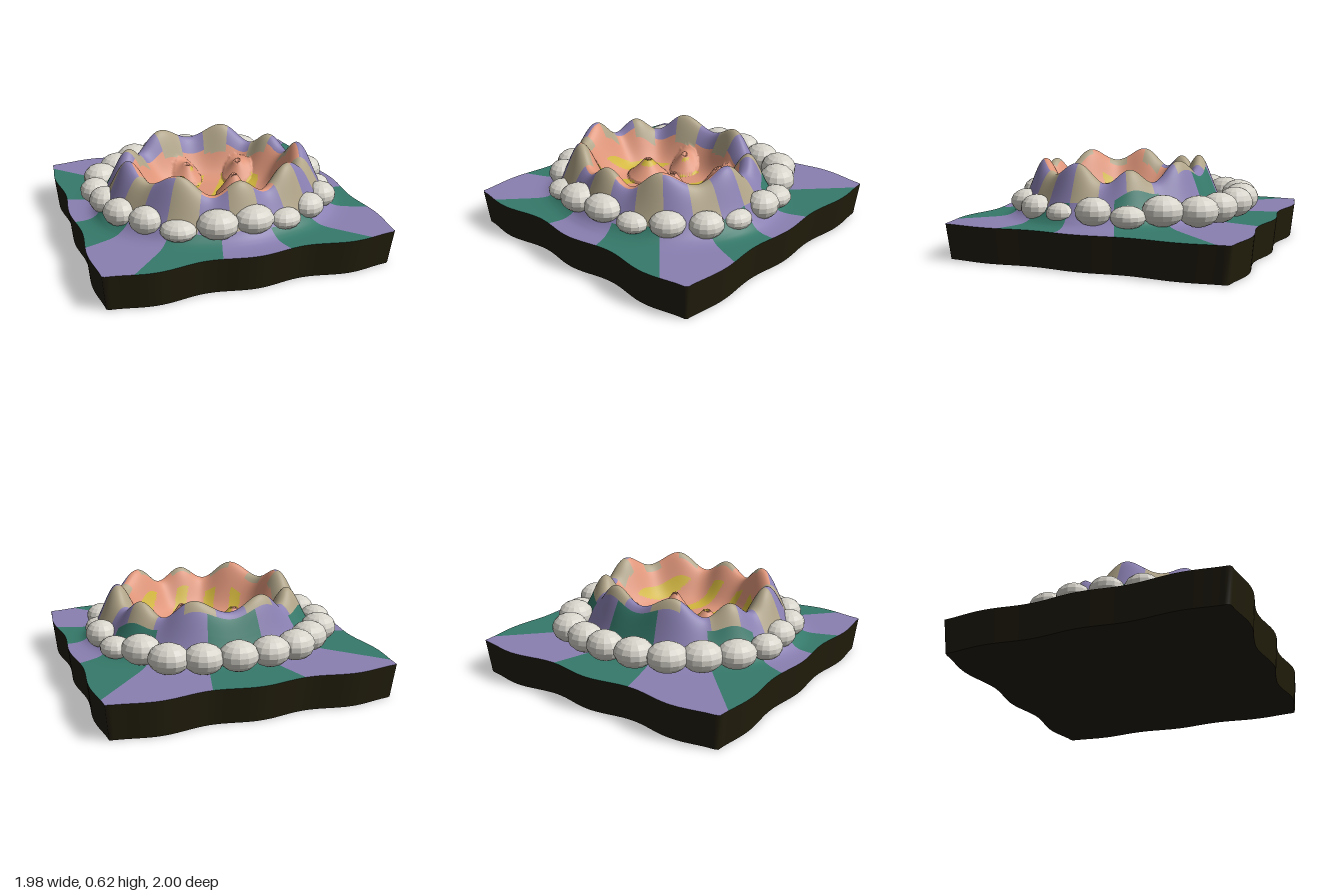
import * as THREE from 'three';

const SEG = 308;              // divisible by both the 14 ground wedges and the 22 rim bands
const INNER = 88, OUTER = 20; // rings across the crater, rings out to the slab edge
const CZ = 0.155, RX = 0.61, RZ = 0.513; // ellipse of the painted bands
const RIM_Z = 0.1, RIM_RZ = 0.53;        // crest of the rim sits slightly further back
const TMAX = 1.35, GROUND = 0.235, FLOOR = 0.27;

const mat = (name, color, side = THREE.FrontSide) => {
  const m = new THREE.MeshStandardMaterial({ color, side });
  m.name = name;
  return m;
};

// Vents on the crater floor: x, z, radius, height
const vents = [
  [-0.21, 0.04, 0.147, 0.17],
  [0.14, 0.155, 0.125, 0.2],
  [-0.085, -0.21, 0.105, 0.14],
  [0.275, -0.14, 0.11, 0.15],
];
const ventReach = (v, x, z) => Math.hypot(x - v[0], z - v[1]) / v[2];

// Wavy square outline of the slab, found along a ray from the crater centre
function outline(phi) {
  const B = 0.977, dx = RX * Math.cos(phi), dz = RZ * Math.sin(phi);
  const s = Math.min(B / Math.max(Math.abs(dx), 1e-6), (dz > 0 ? B - CZ : B + CZ) / Math.max(Math.abs(dz), 1e-6));
  const x = dx * s, z = CZ + dz * s, w = (2 * Math.PI) / 0.65;
  const wave = (a, b, amp) => Math.sign(a) * amp * Math.cos(w * b) * Math.pow(Math.abs(a) / B, 12);
  return [x + wave(x, z, 0.014), z + wave(z, x, 0.022)];
}

// Height of the crater, its wavy rim and the vents
function height(x, z, fade) {
  const t = Math.hypot(x / RX, (z - RIM_Z) / RIM_RZ);
  const a = Math.atan2((z - RIM_Z) / RIM_RZ, x / RX) - Math.PI / 2;
  const psi = a + 0.06 * Math.sin(3 * a);
  const rim = 0.56 + 0.05 * Math.cos(9 * psi) - 0.025 * Math.cos(3 * psi);
  const base = t < 1 ? FLOOR : GROUND;
  let y = base + (rim - base) * Math.exp(-Math.pow((t - 1) / 0.24, 2)) * fade;
  for (const v of vents) {
    const q = ventReach(v, x, z);
    if (q < 1) y += v[3] * (0.1 + 0.9 * Math.pow(1 - q, 1.1)) - (q < 0.14 ? 0.03 : 0);
  }
  return y;
}

// Which material covers a spot: 0 violet, 1 green, 2 sand, 3 coral, 4 yellow
function paint(t, phi, x, z) {
  if (t > 1.22) return Math.floor((phi * 14) / (2 * Math.PI)) % 2 === 0 ? 1 : 0;
  const sand = Math.cos(11 * (phi - Math.PI / 2)) > 0;
  const sandEdge = 0.86 + 0.07 * Math.max(0, -Math.sin(phi));
  if (t > (sand ? sandEdge : 0.97)) return sand ? 2 : 0;
  // Slanted streaks on the floor, reaching only the tips of the vents
  const u = (x + 0.6 * z - 0.1) / 0.233;
  const onSlope = vents.some((v) => { const q = ventReach(v, x, z); return q > 0.4 && q < 1; });
  return t < 0.75 && !onSlope && Math.abs(u - Math.round(u)) < 0.2 ? 4 : 3;
}

function terrainGeometry() {
  const rings = INNER + OUTER, pos = [], faces = [[], [], [], [], []];
  for (let i = 0; i <= rings; i++) {
    const t = (Math.min(i, INNER) / INNER) * TMAX, k = Math.max(0, (i - INNER) / OUTER);
    for (let j = 0; j < SEG; j++) {
      const phi = (j / SEG) * 2 * Math.PI, [ox, oz] = outline(phi);
      const x = THREE.MathUtils.lerp(t * RX * Math.cos(phi), ox, k);
      const z = THREE.MathUtils.lerp(CZ + t * RZ * Math.sin(phi), oz, k);
      pos.push(x, height(x, z, 1 - k), z);
    }
  }
  for (let i = 0; i < rings; i++) {
    for (let j = 0; j < SEG; j++) {
      const n = (j + 1) % SEG;
      const a = i * SEG + j, b = i * SEG + n, c = a + SEG, d = b + SEG;
      const x = (pos[3 * a] + pos[3 * d]) / 2, z = (pos[3 * a + 2] + pos[3 * d + 2]) / 2;
      const t = ((i + 0.5) / INNER) * TMAX;
      const list = faces[paint(t, ((j + 0.5) / SEG) * 2 * Math.PI, x, z)];
      if (i > 0) list.push(a, b, c);
      list.push(b, d, c);
    }
  }
  const geo = new THREE.BufferGeometry();
  geo.setAttribute('position', new THREE.Float32BufferAttribute(pos, 3));
  geo.setIndex(faces.flat());
  let start = 0;
  faces.forEach((f, m) => { geo.addGroup(start, f.length, m); start += f.length; });
  geo.computeVertexNormals();
  return geo;
}

// Slab: a cylinder whose rim is moved onto the wavy outline, slightly narrower below
function slabGeometry() {
  const geo = new THREE.CylinderGeometry(1, 1, GROUND, SEG, 1);
  const p = geo.attributes.position;
  for (let i = 0; i < p.count; i++) {
    const x = p.getX(i), z = p.getZ(i), top = p.getY(i) > 0;
    if (Math.hypot(x, z) < 0.5) {
      p.setXYZ(i, 0, top ? 0.1 : 0, CZ); // upper cap dips under the terrain
    } else {
      const [ox, oz] = outline(Math.atan2(z, x)), s = top ? 1 : 0.977;
      p.setXYZ(i, ox * s, top ? GROUND : 0, oz * s);
    }
  }
  geo.computeVertexNormals();
  return geo;
}

// Boulders: x, z, centre height, half width, half height
const boulders = [
  [-0.17, -0.72, 0.345, 0.133, 0.1], [0.055, -0.735, 0.345, 0.13, 0.1], [0.27, -0.685, 0.335, 0.132, 0.1],
  [0.475, -0.61, 0.335, 0.137, 0.1], [0.6, -0.415, 0.345, 0.137, 0.1], [0.725, -0.23, 0.312, 0.113, 0.073],
  [0.77, -0.015, 0.343, 0.117, 0.093], [0.735, 0.22, 0.315, 0.108, 0.068], [0.67, 0.435, 0.33, 0.115, 0.085],
  [0.495, 0.605, 0.34, 0.118, 0.083], [0.29, 0.7, 0.318, 0.113, 0.067], [0.06, 0.735, 0.36, 0.135, 0.09],
  [-0.18, 0.735, 0.357, 0.135, 0.093], [-0.415, 0.66, 0.318, 0.12, 0.067], [-0.585, 0.515, 0.35, 0.115, 0.09],
  [-0.71, 0.325, 0.343, 0.12, 0.09], [-0.76, 0.1, 0.343, 0.117, 0.09], [-0.785, -0.12, 0.33, 0.115, 0.085],
  [-0.7, -0.345, 0.335, 0.134, 0.095], [-0.545, -0.505, 0.335, 0.138, 0.1], [-0.38, -0.65, 0.34, 0.137, 0.1],
];

export function createModel() {
  const group = new THREE.Group();
  group.name = 'craterDiorama';

  // Crater ground with painted bands
  const terrain = new THREE.Mesh(terrainGeometry(), [
    mat('violetGround', 0x8a80b2, THREE.DoubleSide),
    mat('greenGround', 0x35796a, THREE.DoubleSide),
    mat('sandRim', 0xb0a488, THREE.DoubleSide),
    mat('coralFloor', 0xe0967a, THREE.DoubleSide),
    mat('yellowStreak', 0xd2b63c, THREE.DoubleSide),
  ]);
  terrain.name = 'craterTerrain';
  group.add(terrain);

  // Dark slab
  const slab = new THREE.Mesh(slabGeometry(), mat('darkEarth', 0x211d0c));
  slab.name = 'baseSlab';
  group.add(slab);

  // Ring of faceted boulders, long side along the ring
  const rockGeo = new THREE.SphereGeometry(1, 14, 9).toNonIndexed();
  rockGeo.computeVertexNormals();
  const rockMat = mat('paleStone', 0xd8d5cc);
  const ring = new THREE.Group();
  ring.name = 'boulderRing';
  boulders.forEach(([x, z, y, w, h], i) => {
    const rock = new THREE.Mesh(rockGeo, rockMat);
    rock.name = `boulder${i + 1}`;
    rock.position.set(x, y, z);
    rock.scale.set(w, h, w * 0.9);
    rock.rotation.y = Math.atan2(x, z);
    ring.add(rock);
  });
  group.add(ring);
  return group;
}
